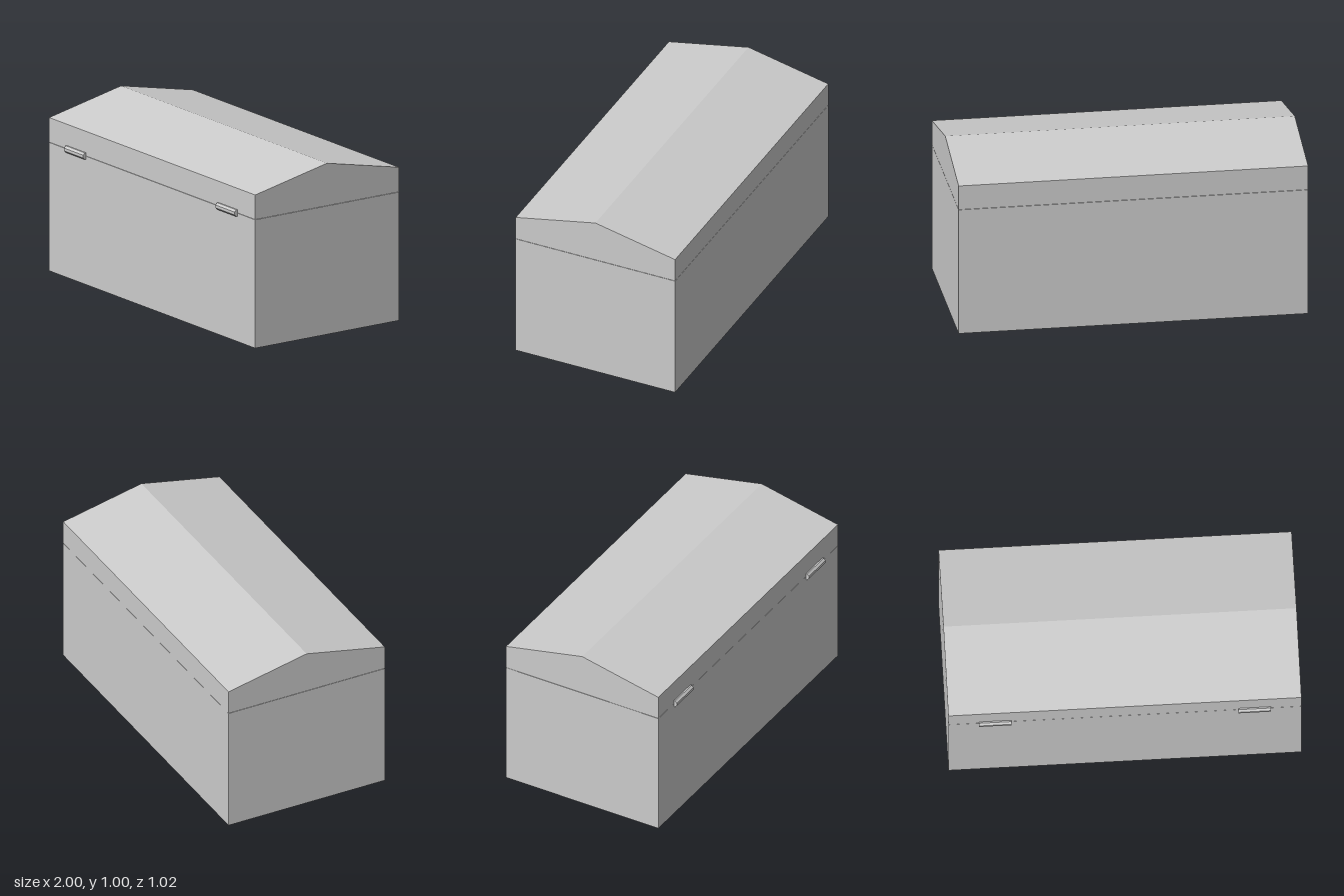
import * as THREE from 'three';

export function createModel() {
  const model = new THREE.Group();
  const material = new THREE.MeshStandardMaterial({ color: 0xcccccc, flatShading: true });
  const width = 2, back = -0.51, front = 0.49, middle = (back + front) / 2;
  const seam = 0.755, gap = 0.002;

  const add = (name, geometry, x, y, z) => {
    const mesh = new THREE.Mesh(geometry, material);
    mesh.name = name;
    mesh.position.set(x, y, z);
    model.add(mesh);
    return mesh;
  };

  // Chest body
  const bodyHeight = seam - gap / 2;
  add('chestBody', new THREE.BoxGeometry(width, bodyHeight, front - back), 0, bodyHeight / 2, middle);

  // Peaked lid: gable profile (shape x = -z) extruded along the width
  const profile = new THREE.Shape([
    [-front, seam + gap / 2], [-back, seam + gap / 2], [-back, 0.9], [-middle, 1.005], [-front, 0.9],
  ].map(([x, y]) => new THREE.Vector2(x, y)));
  const lid = new THREE.ExtrudeGeometry(profile, { depth: width, bevelEnabled: false });
  lid.translate(0, 0, -width / 2).rotateY(Math.PI / 2);
  add('lid', lid, 0, 0, 0);

  // Octagonal hinge barrels across the front seam
  for (const [name, side] of [['leftHinge', 1], ['rightHinge', -1]]) {
    const barrel = new THREE.CylinderGeometry(0.0216, 0.0216, 0.185, 8, 1, false, Math.PI / 8);
    barrel.rotateZ(Math.PI / 2);
    add(name, barrel, side * 0.735, seam, front);
  }
  return model;
}
